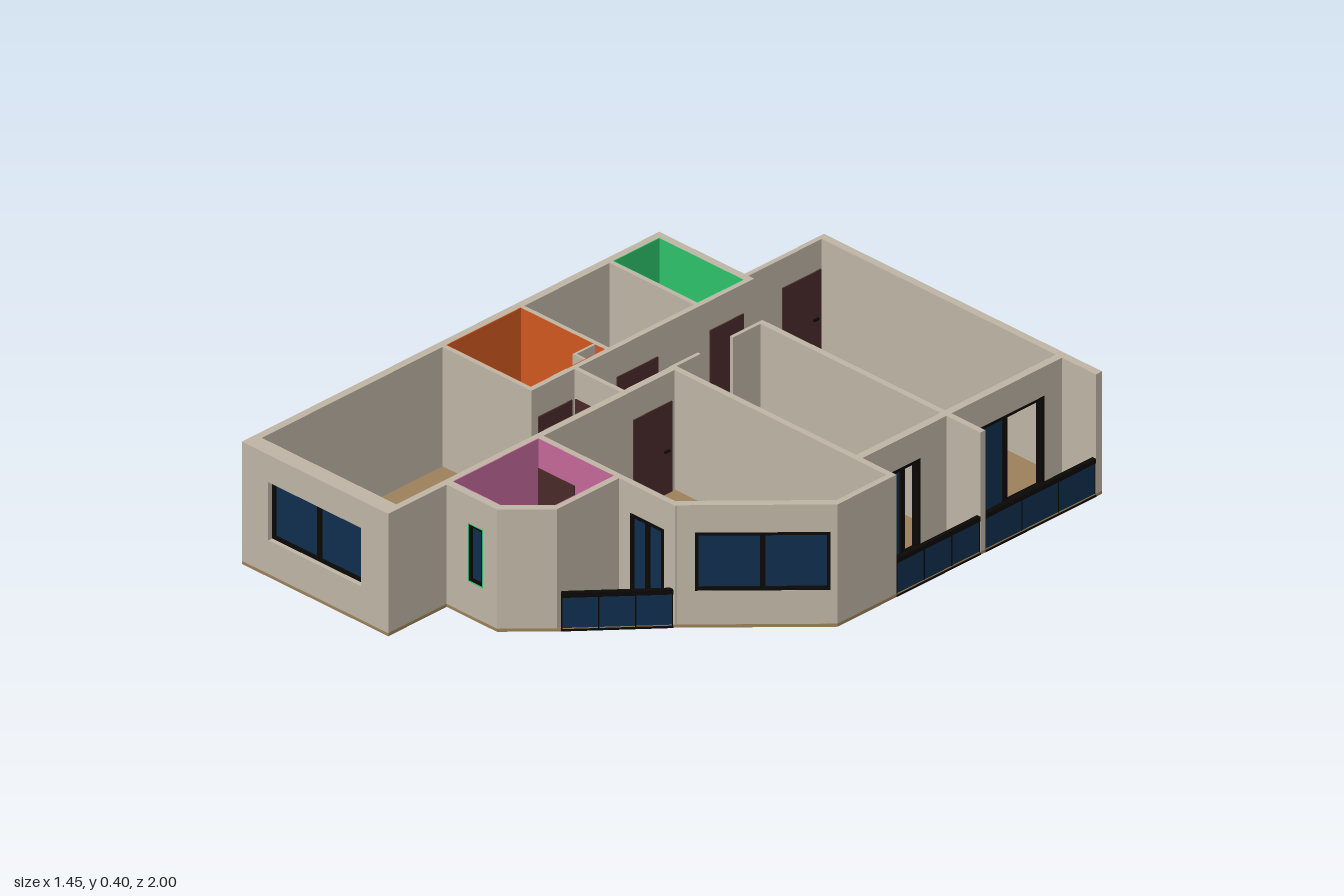
import * as THREE from 'three';

const mat = (name, color) => Object.assign(new THREE.MeshStandardMaterial({ color }), { name });

export function createModel() {
  const root = new THREE.Group();
  root.name = 'apartment';
  const plaster = mat('plaster', 0xbfb5a5), wood = mat('wood floor', 0x9d815a), tile = mat('grey tile', 0x706e6b);
  const glass = mat('blue glass', 0x0f2d4d), black = mat('black frame', 0x0a0806), brown = mat('brown door', 0x4a2a2a);
  const orange = mat('orange paint', 0xd0581f), green = mat('green paint', 0x2cc26a), pink = mat('pink paint', 0xc46899);
  const BASE = 0.01, TOP = 0.4;

  // Box given by its limits along a wall (s), in height (y) and by its thickness
  function box(parent, name, m, s0, s1, y0, y1, t, z = 0) {
    if (s1 - s0 < 1e-4 || y1 - y0 < 1e-4) return;
    const mesh = new THREE.Mesh(new THREE.BoxGeometry(s1 - s0, y1 - y0, t), m);
    mesh.position.set((s0 + s1) / 2, (y0 + y1) / 2, z);
    mesh.name = name;
    parent.add(mesh);
  }

  // Group whose local x axis runs from a to b on the plan
  function run(name, a, b) {
    const g = new THREE.Group();
    g.name = name;
    g.position.set(a[0], 0, a[1]);
    g.rotation.y = -Math.atan2(b[1] - a[1], b[0] - a[0]);
    root.add(g);
    return g;
  }

  // Door leaf with a handle on both faces
  function door(g, s0, s1, y0, y1, t) {
    box(g, 'doorLeaf', brown, s0, s1, y0, y1, t + 0.008);
    for (const k of [-1, 1]) box(g, 'doorHandle', black, s0 + 0.015, s0 + 0.035, 0.148, 0.154, 0.008, k * (t / 2 + 0.007));
  }

  // Framed glazing; an open slider has glass in its second half only
  function glazing(g, s0, s1, y0, y1, panes, open) {
    const f = 0.01, mid = (s0 + s1) / 2;
    box(g, 'glass', glass, open ? mid : s0 + f, s1 - f, y0 + f, y1 - f, 0.008);
    for (const [p, q] of [[s0, s0 + f], [s1 - f, s1]]) box(g, 'frameSide', black, p, q, y0, y1, 0.024);
    box(g, 'frameTop', black, s0, s1, y1 - f, y1, 0.024);
    box(g, 'frameBottom', black, s0, s1, y0, open ? y0 + 0.004 : y0 + f, 0.024);
    if (panes > 1) box(g, 'mullion', black, mid - 0.008, mid + 0.008, y0, y1, 0.02);
  }

  // Wall from a to b, with openings [kind, from, to] given by plan coordinate along its main axis
  function wall(name, a, b, t, openings = [], m = plaster) {
    const dx = b[0] - a[0], dz = b[1] - a[1], len = Math.hypot(dx, dz);
    const axis = Math.abs(dx) >= Math.abs(dz) ? 0 : 1, k = len / Math.abs(b[axis] - a[axis]);
    const g = run(name, a, b);
    let last = 0;
    for (const [kind, from, to] of openings) {
      const s0 = (from - a[axis]) * k, s1 = (to - a[axis]) * k;
      const isWindow = kind.startsWith('window') || kind === 'hole';
      const y0 = isWindow ? 0.12 : BASE, y1 = kind === 'gap' ? TOP : isWindow ? 0.31 : 0.305;
      box(g, 'wallPanel', m, last, s0, BASE, TOP, t);
      box(g, 'wallBelow', m, s0, s1, BASE, y0, t);
      box(g, 'wallAbove', m, s0, s1, y1, TOP, t);
      if (kind === 'door') door(g, s0, s1, y0, y1, t);
      if (kind === 'window' || kind === 'glassDoor') glazing(g, s0, s1, y0, y1, 2, false);
      if (kind === 'slider') glazing(g, s0, s1, y0, y1, 2, true);
      if (kind === 'windowNarrow') {
        glazing(g, s0, s1, y0, y1, 1, false);
        // painted reveal
        for (const [p, q] of [[s0, s0 + 0.003], [s1 - 0.003, s1]]) box(g, 'reveal', green, p, q, y0, y1, t + 0.002);
        for (const [p, q] of [[y0, y0 + 0.003], [y1 - 0.003, y1]]) box(g, 'reveal', green, s0, s1, p, q, t + 0.002);
      }
      last = s1;
    }
    box(g, 'wallPanel', m, last, len, BASE, TOP, t);
  }

  // Flat slab from a plan outline
  function slab(name, pts, m, top, depth) {
    const shape = new THREE.Shape(pts.map(([x, z]) => new THREE.Vector2(x, z)));
    const mesh = new THREE.Mesh(new THREE.ExtrudeGeometry(shape, { depth, bevelEnabled: false }), m);
    mesh.rotation.x = Math.PI / 2;
    mesh.position.y = top;
    mesh.name = name;
    root.add(mesh);
  }

  // Glass balcony railing
  function railing(a, b) {
    const g = run('balconyRailing', a, b), len = Math.hypot(b[0] - a[0], b[1] - a[1]);
    box(g, 'railGlass', glass, 0, len, 0.006, 0.112, 0.008);
    box(g, 'handrail', black, 0, len, 0.11, 0.125, 0.014);
    box(g, 'railBase', black, 0, len, 0.001, 0.007, 0.016);
    for (let i = 0; i <= 3; i++) {
      const s = 0.002 + (len - 0.004) * i / 3;
      box(g, 'railPost', black, s - 0.002, s + 0.002, 0.005, 0.112, 0.011);
    }
  }

  // Wet room: tiled floor and painted inner walls
  function wetRoom(name, pts, m, holes = {}) {
    slab(name + 'Tiles', pts, tile, BASE + 0.002, 0.002);
    pts.forEach((p, i) => {
      let a = p, b = pts[(i + 1) % pts.length];
      const axis = Math.abs(b[0] - a[0]) >= Math.abs(b[1] - a[1]) ? 0 : 1;
      if (a[axis] > b[axis]) [a, b] = [b, a];
      wall(name + 'Paint', a, b, 0.003, holes[i], m);
    });
  }
  const rect = (x0, x1, z0, z1) => [[x0, z0], [x1, z0], [x1, z1], [x0, z1]];

  // Floor
  slab('floor', [[-0.73, -0.68], [-0.39, -0.68], [-0.39, -1], [0.72, -1], [0.72, 0.065], [0.395, 0.395],
    [0.18, 0.637], [0.055, 0.765], [-0.146, 0.765], [-0.146, 1], [-0.73, 1]], wood, BASE, BASE);

  // Outer walls
  wall('leftWall', [-0.7175, -0.68], [-0.7175, 1], 0.025);
  wall('sideBackWall', [-0.73, -0.6675], [-0.352, -0.6675], 0.025);
  wall('frontWall', [-0.73, 0.9725], [-0.146, 0.9725], 0.055, [['window', -0.625, -0.255]]);
  wall('entryWall', [-0.382, -1], [-0.382, -0.66], 0.016, [['door', -0.97, -0.815]]);
  wall('backWall', [-0.39, -0.9875], [0.72, -0.9875], 0.025);
  wall('rightWall', [0.71, -0.17], [0.71, 0.065], 0.02);
  wall('diagonalWall', [0.386, 0.386], [0.711, 0.056], 0.025, [['window', 0.428, 0.702]]);
  wall('bathFrontWall', [-0.168, 0.7525], [0.055, 0.7525], 0.025, [['windowNarrow', -0.06, 0]]);
  wall('bathDiagonalWall', [0.046, 0.756], [0.166, 0.636], 0.025);

  // Inner walls
  wall('livingRightWall', [-0.157, -0.16], [-0.157, 1], 0.022, [['door', -0.14, 0.015]]);
  wall('hallLeftWall', [-0.36, -0.68], [-0.36, 0.217], 0.018,
    [['door', -0.635, -0.5], ['door', -0.29, -0.125], ['door', 0.055, 0.19]]);
  for (const z of [-0.4625, -0.105, 0.21]) wall('sidePartition', [-0.72, z], [-0.355, z], 0.015);
  wall('hallEndWall', [-0.36, 0.036], [-0.16, 0.036], 0.015, [['door', -0.345, -0.215]]);
  wall('balconyWall', [0.5725, -0.98], [0.5725, -0.16], 0.025, [['slider', -0.905, -0.595], ['slider', -0.405, -0.27]]);
  for (const z of [-0.52, -0.162]) wall('bedroomWall', [-0.17, z], [0.72, z], 0.02);
  wall('bedroomEntryWall', [-0.164, -0.53], [-0.164, -0.155], 0.012, [['gap', -0.4, -0.27]]);
  wall('bedroomFrontWall', [-0.16, 0.385], [0.4, 0.385], 0.02, [['door', -0.145, 0], ['glassDoor', 0.22, 0.355]]);
  wall('bathSideWall', [0.165, 0.38], [0.165, 0.645], 0.02);
  wall('ductSide', [-0.411, -0.1], [-0.411, -0.014], 0.008);
  wall('ductFront', [-0.415, -0.018], [-0.36, -0.018], 0.008);

  // Painted wet rooms
  wetRoom('utilityRoom', rect(-0.705, -0.369, -0.655, -0.47), green);
  wetRoom('middleBath', rect(-0.705, -0.369, -0.0975, 0.2025), orange);
  wetRoom('frontBath', [[-0.146, 0.395], [0.155, 0.395], [0.155, 0.63], [0.045, 0.74], [-0.146, 0.74]], pink,
    { 3: [['hole', -0.06, 0]] });

  // Balcony railings
  railing([0.714, -0.975], [0.714, -0.53]);
  railing([0.714, -0.51], [0.714, -0.172]);
  railing([0.178, 0.632], [0.39, 0.394]);
  return root;
}
